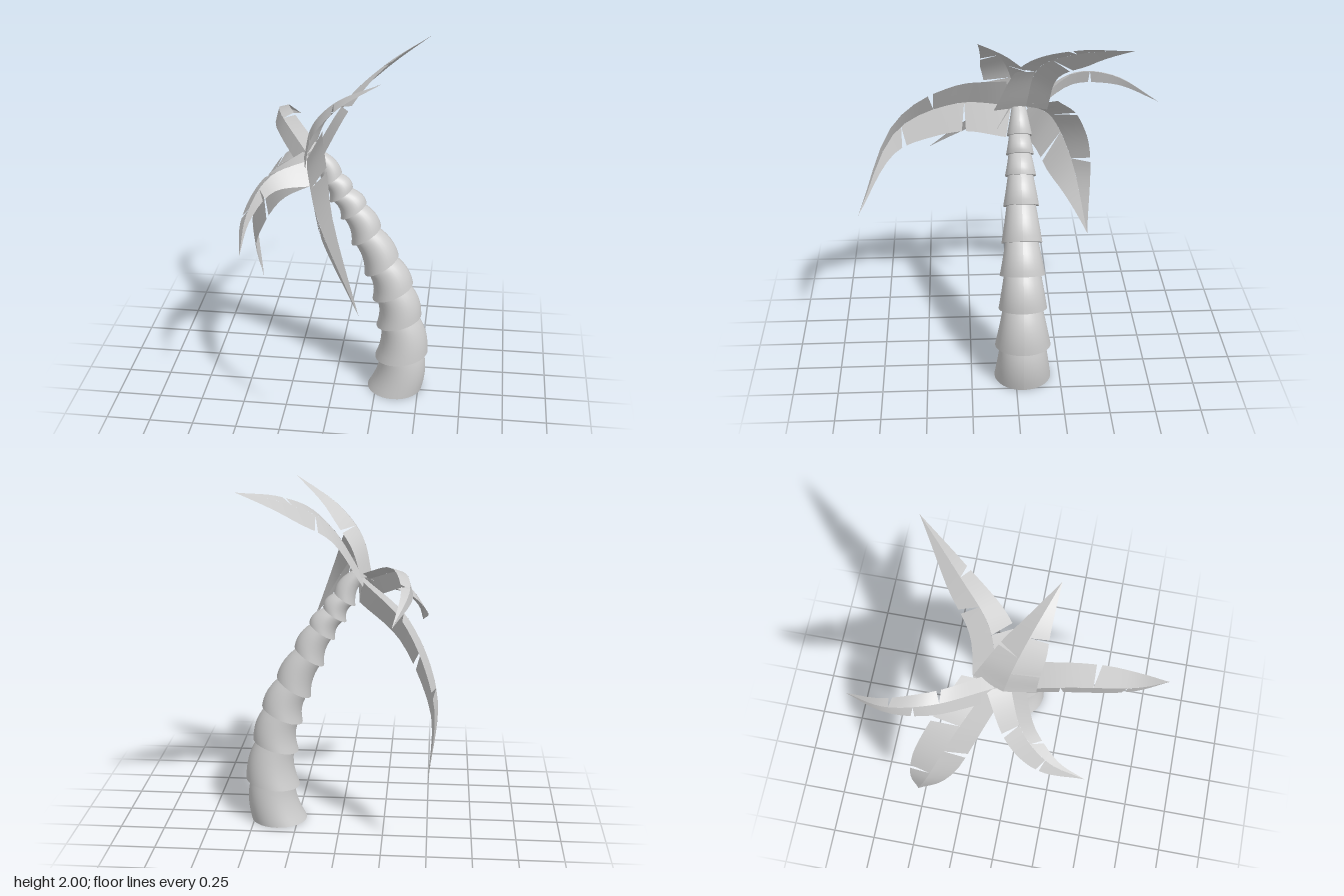
import * as THREE from 'three';

const material = new THREE.MeshStandardMaterial({ color: 0xcccccc, side: THREE.DoubleSide });
const TRUNK_Z = -0.04;

// Indexed smooth surface from rows of equally many points
function loft(rows) {
  const n = rows[0].length, index = [];
  for (let i = 0; i < rows.length - 1; i++) {
    for (let j = 0; j < n - 1; j++) {
      const a = i * n + j, b = a + 1, c = a + n, d = c + 1;
      index.push(a, c, b, b, c, d);
    }
  }
  const geo = new THREE.BufferGeometry().setFromPoints(rows.flat());
  geo.setIndex(index);
  geo.computeVertexNormals();
  return geo;
}

function addMesh(parent, geo, name) {
  const mesh = new THREE.Mesh(geo, material);
  mesh.name = name;
  parent.add(mesh);
}

// Trunk joints from the ground up: x, y, radius; each sleeve flares out over the one below
const joints = [
  [0.36, 0, 0.16], [0.395, 0.228, 0.156], [0.375, 0.455, 0.135], [0.335, 0.643, 0.126], [0.268, 0.808, 0.113],
  [0.178, 0.99, 0.099], [0.105, 1.138, 0.086], [0.035, 1.235, 0.077], [-0.02, 1.325, 0.07], [-0.095, 1.46, 0.04],
];
const tilt = (i) => Math.min(0.14 * i, 0.58);

// Circle of points tilted about z
function ring(x, y, radius, angle, sides = 32) {
  return Array.from({ length: sides + 1 }, (_, i) => {
    const a = (i / sides) * Math.PI * 2, c = Math.cos(a) * radius;
    return new THREE.Vector3(x + c * Math.cos(angle), y + c * Math.sin(angle), TRUNK_Z - Math.sin(a) * radius);
  });
}

function sleeve(parent, i) {
  const [x0, y0, r0] = joints[i], [x1, y1, r1] = joints[i + 1];
  const topRadius = r1 * (i < joints.length - 2 ? 0.82 : 1), mix = THREE.MathUtils.lerp;
  const rows = [];
  for (let k = 0; k <= 6; k++) {
    const t = k / 6, bow = 0.07 * t * (1 - t);
    rows.push(ring(mix(x0, x1, t) + bow, mix(y0, y1, t) + bow * 0.4, mix(r0, topRadius, t), mix(tilt(i), tilt(i + 1), t)));
  }
  addMesh(parent, loft(rows), 'trunkSleeve');
  // Flat ends
  const bottom = ring(x0, y0, 0, 0), top = ring(x1, y1, 0, 0);
  addMesh(parent, loft([bottom, rows[0]]), 'trunkSleeveBottom');
  addMesh(parent, loft([rows[6], top]), 'trunkSleeveTop');
}

// Each frond: rib points from crown to tip, then for each half blade
// the offset of its edge from the rib at the crown and at mid length
const fronds = {
  frontFrond: [
    [[-0.15, 1.45, 0], [-0.1, 1.49, 0.3], [0, 1.38, 0.63], [0.23, 0.98, 0.85]],
    [[0.09, 0.18, 0.03], [0.085, 0.115, 0.01]],
    [[0.05, -0.17, 0.03], [0.025, -0.145, -0.01]],
  ],
  backLeftFrond: [
    [[-0.13, 1.45, -0.08], [0.05, 1.75, -0.14], [0.25, 1.9, -0.34], [0.49, 2, -0.58]],
    [[0, -0.02, -0.12], [-0.015, -0.07, -0.1]],
    [[0.05, 0, 0.18], [0.055, 0.04, 0.055]],
  ],
  frontLeftFrond: [
    [[-0.17, 1.45, -0.03], [-0.12, 1.65, 0.01], [0.02, 1.82, 0.08], [0.27, 1.97, 0.19]],
    [[0.05, 0.03, -0.17], [0.07, -0.015, -0.105]],
    [[0.03, 0, 0.17], [0.01, -0.02, 0.13]],
  ],
  backRightFrond: [
    [[-0.13, 1.46, -0.1], [-0.38, 1.27, -0.25], [-0.54, 0.9, -0.39], [-0.5, 0.43, -0.49]],
    [[0.03, -0.16, 0.08], [0.045, -0.155, 0.115]],
    [[0, 0.02, -0.16], [0.02, 0, -0.145]],
  ],
  frontRightFrond: [
    [[-0.13, 1.45, 0], [-0.34, 1.38, 0.1], [-0.44, 1.23, 0.26], [-0.45, 1.07, 0.47]],
    [[0.03, -0.12, 0.08], [0.035, -0.03, 0.06]],
    [[-0.05, 0, -0.12], [-0.055, -0.07, -0.05]],
  ],
  backFrond: [
    [[-0.16, 1.45, -0.08], [-0.35, 1.56, -0.37], [-0.39, 1.52, -0.61], [-0.31, 1.39, -0.85]],
    [[-0.06, -0.08, -0.03], [-0.02, -0.075, 0]],
    [[0.06, 0.03, -0.04], [0.06, 0.02, 0]],
  ],
};

const curve = (pts) => new THREE.CatmullRomCurve3(pts.map((p) => new THREE.Vector3(...p)));

// Half blade between rib and edge, split into panels with wedge gaps that close at the rib
function halfBlade(parent, rib, offset, cuts) {
  const stops = [0, ...cuts, 1], gap = 0.014, steps = 7;
  for (let k = 0; k < stops.length - 1; k++) {
    const a = stops[k], b = stops[k + 1];
    const edgeA = a > 0 ? a + gap : a, edgeB = b < 1 ? b - gap : b;
    const rows = [];
    for (let i = 0; i <= steps; i++) {
      const t = i / steps, e = THREE.MathUtils.lerp(edgeA, edgeB, t);
      rows.push([rib.getPoint(THREE.MathUtils.lerp(a, b, t)), rib.getPoint(e).add(offset.getPoint(e))]);
    }
    addMesh(parent, loft(rows), 'leafPanel');
  }
}

function frond(name, [ribPoints, edgeA, edgeB]) {
  const group = new THREE.Group();
  group.name = name;
  const rib = curve(ribPoints);
  halfBlade(group, rib, curve([...edgeA, [0, 0, 0]]), [0.46]);
  halfBlade(group, rib, curve([...edgeB, [0, 0, 0]]), [0.29, 0.64]);
  return group;
}

export function createModel() {
  const model = new THREE.Group();
  model.name = 'palmTree';
  const trunk = new THREE.Group();
  trunk.name = 'trunk';
  for (let i = 0; i < joints.length - 1; i++) sleeve(trunk, i);
  const crown = new THREE.Group();
  crown.name = 'crown';
  for (const [name, spec] of Object.entries(fronds)) crown.add(frond(name, spec));
  model.add(trunk, crown);
  return model;
}
